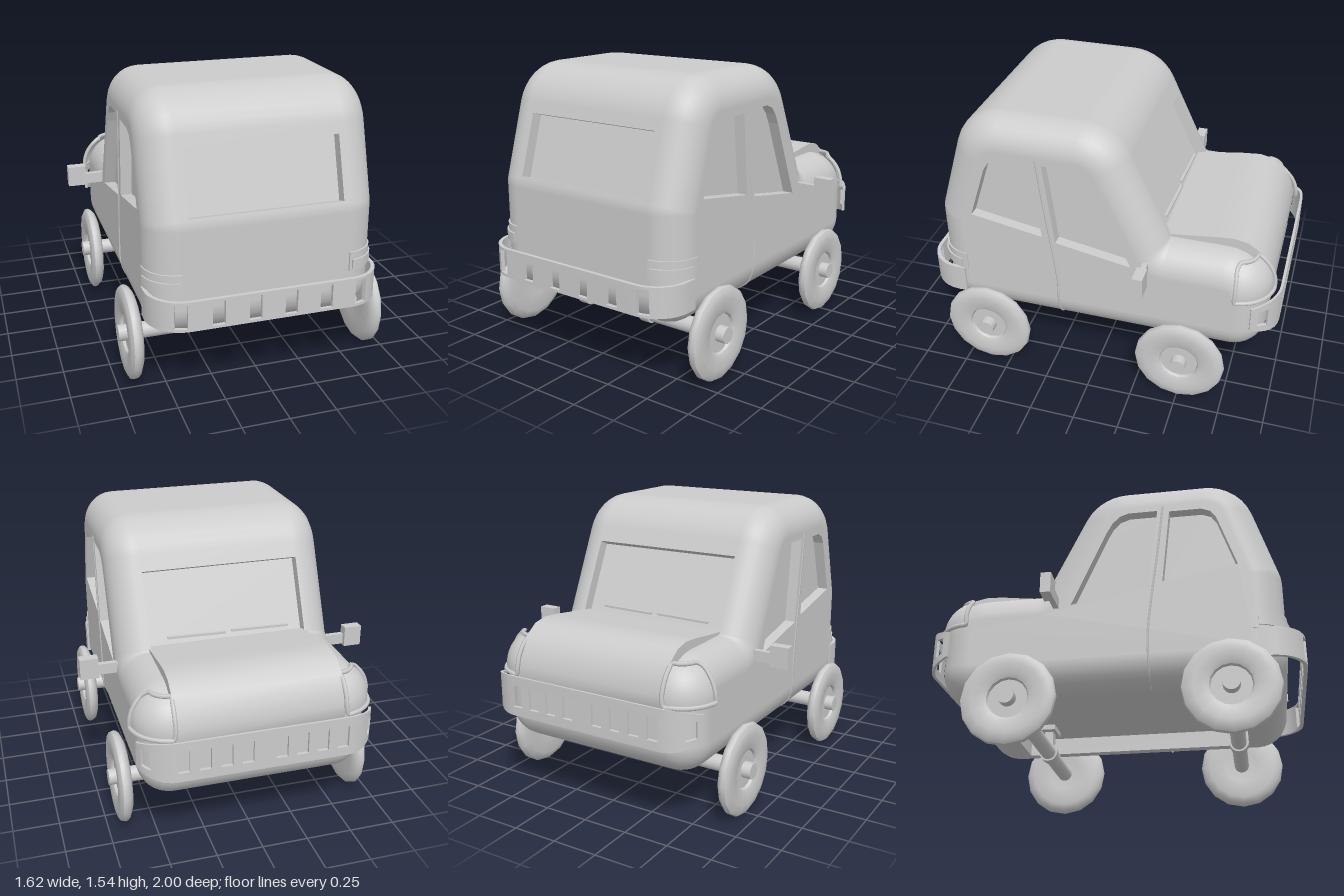
import * as THREE from 'three';
import { toCreasedNormals, mergeGeometries } from 'three/addons/utils/BufferGeometryUtils.js';

const V2 = (x, y) => new THREE.Vector2(x, y);
const V3 = (x, y, z) => new THREE.Vector3(x, y, z);
const grey = new THREE.MeshStandardMaterial({ color: 0xcccccc, side: THREE.DoubleSide });
const BEVEL = 0.17, FLAT = 0.44, N = 7;

function add(parent, name, geometry, x = 0, y = 0, z = 0) {
  const mesh = new THREE.Mesh(geometry, grey);
  mesh.name = name;
  mesh.position.set(x, y, z);
  parent.add(mesh);
  return mesh;
}

// Side profile (z, y) as corners with a signed fillet radius (negative = concave)
const corners = [
  [0.905, 0.31, 0.18], [0.905, 0.93, 0.17], [0.717, 1.54, 0.27], [-0.094, 1.54, 0.28],
  [-0.39, 0.915, -0.01], [-0.93, 0.915, 0.24], [-0.93, 0.31, 0.18],
];
function bodyProfile() {
  const out = [];
  const c = corners.map(([z, y]) => V2(z, y));
  const inward = (a, b) => { const d = b.clone().sub(a).normalize(); return V2(-d.y, d.x); };
  corners.forEach(([, , r], i) => {
    const n1 = inward(c[(i + 6) % 7], c[i]), n2 = inward(c[i], c[(i + 1) % 7]);
    const centre = n1.clone().add(n2).multiplyScalar(r / (1 + n1.dot(n2))).add(c[i]);
    const turn = Math.atan2(n1.cross(n2), n1.dot(n2));
    for (let k = 0; k <= N; k++) {
      const n = n1.clone().rotateAround(V2(0, 0), turn * k / N);
      out.push({ p: centre.clone().addScaledVector(n, -r), n });
    }
  });
  return out;
}

// Flat panel with recessed openings; local +z faces outwards
function recessedPanel(outline, holes, depth, matrix) {
  const shape = new THREE.Shape(outline);
  shape.holes = holes.map(h => new THREE.Path(h));
  const parts = [new THREE.ShapeGeometry(shape).toNonIndexed()];
  for (const h of holes) {
    parts.push(new THREE.ShapeGeometry(new THREE.Shape(h)).translate(0, 0, -depth).toNonIndexed());
    h.forEach((a, i) => {
      const b = h[(i + 1) % h.length];
      const wall = new THREE.PlaneGeometry(a.distanceTo(b), depth).rotateX(-Math.PI / 2);
      wall.rotateZ(Math.atan2(b.y - a.y, b.x - a.x));
      parts.push(wall.translate((a.x + b.x) / 2, (a.y + b.y) / 2, -depth / 2).toNonIndexed());
    });
  }
  return mergeGeometries(parts).applyMatrix4(matrix);
}

function buildBody(car) {
  const prof = bodyProfile(), M = prof.length, pos = [], nor = [], idx = [], S = 8;
  const cols = [];
  for (let j = 0; j <= S; j++) cols.push([-1, (1 - j / S) * Math.PI / 2]);
  for (let j = 0; j <= S; j++) cols.push([1, j / S * Math.PI / 2]);
  const C = cols.length, straight = k => k * (N + 1) + N;
  const open = [1, 3, 6].map(straight);
  prof.forEach(({ p, n }, i) => {
    cols.forEach(([s, a], j) => {
      const d = BEVEL * (1 - Math.cos(a));
      pos.push(s * (FLAT + BEVEL * Math.sin(a)), p.y + n.y * d, p.x + n.x * d);
      nor.push(s * Math.sin(a), -n.y * Math.cos(a), -n.x * Math.cos(a));
      if (j === C - 1 || (j === S && open.includes(i))) return;
      const v = i * C + j, w = ((i + 1) % M) * C + j;
      idx.push(v, v + 1, w, v + 1, w + 1, w);
    });
  });
  const shell = new THREE.BufferGeometry();
  shell.setAttribute('position', new THREE.Float32BufferAttribute(pos, 3));
  shell.setAttribute('normal', new THREE.Float32BufferAttribute(nor, 3));
  shell.setIndex(idx);
  add(car, 'bodyShell', shell);

  // Rear window, windscreen and underfloor, each set in a straight run of the profile
  const runs = [['rearWindow', 1, 0.405, 0.012, 0.35, 0.06], ['windscreen', 3, 0.435, 0.09, 0.5, 0.06],
    ['underfloor', 6, 0.41, 0.08, 1.42, 0.1]];
  for (const [name, k, w, v0, v1, depth] of runs) {
    const a = prof[straight(k)], b = prof[(straight(k) + 1) % M], len = a.p.distanceTo(b.p);
    const rect = (hw, lo, hi) => [V2(-hw, lo), V2(hw, lo), V2(hw, hi), V2(-hw, hi)];
    const Y = V3(0, b.p.y - a.p.y, b.p.x - a.p.x).normalize(), Z = V3(0, -a.n.y, -a.n.x);
    const m = new THREE.Matrix4().makeBasis(V3(1, 0, 0), Y, Z).setPosition(0, a.p.y, a.p.x);
    add(car, name, recessedPanel(rect(FLAT, 0, len), [rect(w, v0, v1)], depth, m));
  }

  // Flat sides with two windows each
  const frontWin = [[0.26, 1.335], [0.1, 1.335], [0.05, 1.317], [0.01, 1.275], [-0.02, 1.22], [-0.21, 0.79], [0.205, 0.865]];
  const backWin = [[0.325, 1.325], [0.5, 1.325], [0.55, 1.305], [0.58, 1.26], [0.68, 0.96], [0.28, 0.89]];
  for (const s of [1, -1]) {
    const flip = ([z, y]) => V2(-s * z, y);
    const outline = prof.map(({ p, n }) => flip([p.x + n.x * BEVEL, p.y + n.y * BEVEL]));
    const m = new THREE.Matrix4().makeBasis(V3(0, 0, -s), V3(0, 1, 0), V3(s, 0, 0)).setPosition(s * (FLAT + BEVEL), 0, 0);
    add(car, 'sideWindows', recessedPanel(outline, [frontWin.map(flip), backWin.map(flip)], 0.06, m));
    // Door seam down the side and round the sill
    const seam = [[0.61, 1.36, 0.29], [0.61, 1.1, 0.26], [0.61, 0.75, 0.215], [0.61, 0.6, 0.2], [0.61, 0.48, 0.2],
      [0.587, 0.395, 0.2], [0.56, 0.36, 0.2], [0.505, 0.323, 0.2]].map(([x, y, z]) => V3(s * x, y, z));
    add(car, 'doorSeam', new THREE.TubeGeometry(new THREE.CatmullRomCurve3(seam), 30, 0.007, 5));
  }
}

// Strip following a rounded-corner plan; s is measured along it from the middle
function ribbon(plan, s0, s1, y0, y1) {
  const { w, z0, r, t, dir } = plan, arc = r * Math.PI / 2;
  const at = (s, off) => {
    const g = Math.sign(s), u = Math.abs(s);
    if (u <= w) return V2(s, -dir * (z0 - off));
    const a = Math.min((u - w) / r, Math.PI / 2), extra = Math.max(0, u - w - arc);
    return V2(g * (w + (r - off) * Math.sin(a)), -dir * (z0 - r + (r - off) * Math.cos(a) - extra));
  };
  const stops = [s0, s1];
  for (const g of [-1, 1]) for (let k = 0; k <= 8; k++) {
    const s = g * (w + arc * k / 8);
    if (s > s0 + 1e-4 && s < s1 - 1e-4) stops.push(s);
  }
  stops.sort((a, b) => a - b);
  const pts = [...stops.map(s => at(s, 0)), ...stops.reverse().map(s => at(s, t))];
  const g = new THREE.ExtrudeGeometry(new THREE.Shape(pts), { depth: y1 - y0, bevelEnabled: false });
  return toCreasedNormals(g.rotateX(-Math.PI / 2).translate(0, y0, 0), 0.6);
}

// Bumper: two rails joined by the pieces between the slots
function bumper(name, plan, end, [y0, y1, y2, y3], slots, slotW) {
  const parts = [ribbon(plan, -end, end, y0, y1), ribbon(plan, -end, end, y2, y3)];
  const edges = [-end, ...slots.flatMap(s => [s - slotW / 2, s + slotW / 2]), end];
  for (let i = 0; i < edges.length; i += 2) parts.push(ribbon(plan, edges[i], edges[i + 1], y1, y2));
  const mesh = new THREE.Mesh(mergeGeometries(parts), grey);
  mesh.name = name;
  return mesh;
}

export function createModel() {
  const car = new THREE.Group();
  car.name = 'car';
  buildBody(car);

  // Bonnet panel
  const hood = new THREE.Shape([[0.345, 0.925], [0.5, 0.942], [0.62, 0.958], [0.72, 0.966], [0.8, 0.95], [0.87, 0.9],
    [0.915, 0.83], [0.938, 0.75], [0.942, 0.68], [0.9, 0.6], [0.36, 0.8]].map(([z, y]) => V2(z, y)));
  const hoodGeo = new THREE.ExtrudeGeometry(hood, { depth: 0.89, bevelEnabled: false }).rotateY(Math.PI / 2);
  add(car, 'bonnet', toCreasedNormals(hoodGeo.translate(-0.445, 0, 0), 0.6));

  // Bumpers
  const rearPlan = { w: 0.43, z0: 1, r: 0.19, t: 0.02, dir: 1 };
  car.add(bumper('rearBumper', rearPlan, 0.78, [0.42, 0.435, 0.565, 0.58], [-0.478, -0.285, -0.095, 0.095, 0.285, 0.478], 0.066));
  const frontPlan = { w: 0.44, z0: 1, r: 0.2, t: 0.015, dir: -1 };
  const half = [0.09, 0.2, 0.31, 0.42, 0.62];
  const front = bumper('frontBumper', frontPlan, 0.69, [0.49, 0.54, 0.66, 0.71], [...half.map(v => -v).reverse(), ...half], 0.06);
  const fp = front.geometry.attributes.position;
  for (let i = 0; i < fp.count; i++) {
    const k = 0.65 + 0.35 * THREE.MathUtils.clamp((-fp.getZ(i) - 0.87) / 0.12, 0, 1);
    fp.setY(i, 0.6 + (fp.getY(i) - 0.6) * k);
  }
  car.add(front);

  const lampPoint = (s, az, el) => {
    const a = THREE.MathUtils.degToRad(az), e = THREE.MathUtils.degToRad(el), r = 0.2;
    return V3(s * (0.44 + r * Math.cos(e) * Math.cos(a)), 0.72 + r * Math.sin(e), -0.755 - r * Math.cos(e) * Math.sin(a));
  };
  for (const s of [1, -1]) {
    // Wrap-round tail lamps
    const lampPlan = { w: 0.44, z0: 0.915, r: 0.175, t: 0.03, dir: 1 };
    const lensPlan = { w: 0.44, z0: 0.925, r: 0.18, t: 0.03, dir: 1 };
    const span = (a, b) => s > 0 ? [a, b] : [-b, -a];
    add(car, 'tailLampFrame', ribbon(lampPlan, ...span(0.445, 0.72), 0.58, 0.685));
    add(car, 'tailLampLens', ribbon(lensPlan, ...span(0.46, 0.7), 0.595, 0.645));

    // Headlamps: sphere patch with a rim
    const lens = new THREE.SphereGeometry(0.195, 14, 10, s > 0 ? Math.PI : Math.PI * 1.5, Math.PI / 2, 0.5, 1.15);
    add(car, 'headlampLens', lens, s * 0.44, 0.72, -0.755);
    const rim = [];
    for (let a = 5; a <= 88; a += 8) rim.push(lampPoint(s, a, -5));
    for (let e = 8; e <= 50; e += 14) rim.push(lampPoint(s, 88, e));
    for (let a = 88; a >= 5; a -= 12) rim.push(lampPoint(s, a, 60));
    for (let e = 50; e >= 8; e -= 14) rim.push(lampPoint(s, 5, e));
    add(car, 'headlampRim', new THREE.TubeGeometry(new THREE.CatmullRomCurve3(rim, true), 60, 0.012, 6, true));

    // Door mirrors
    add(car, 'mirrorStem', new THREE.BoxGeometry(0.13, 0.06, 0.03), s * 0.665, 0.805, -0.29);
    add(car, 'mirrorHead', new THREE.BoxGeometry(0.1, 0.115, 0.055), s * 0.76, 0.825, -0.3);

    // Wipers
    const wiper = add(car, 'wiper', new THREE.BoxGeometry(0.32, 0.012, 0.015), s * 0.18 - 0.01, 0.955, -0.335);
    wiper.rotation.y = -0.04;
  }

  // Axles with brackets and wheels
  const tyre = [[0, 0.635], [0.1, 0.63], [0.2, 0.622], [0.232, 0.635], [0.247, 0.652], [0.25, 0.665], [0.245, 0.68],
    [0.225, 0.692], [0.19, 0.695], [0.13, 0.69], [0.11, 0.682], [0.103, 0.668], [0, 0.668]].map(([r, x]) => V2(r, x));
  for (const z of [0.615, -0.505]) {
    const set = new THREE.Group();
    set.name = z > 0 ? 'rearAxle' : 'frontAxle';
    set.position.set(0, 0.252, z);
    car.add(set);
    add(set, 'axle', toCreasedNormals(new THREE.CylinderGeometry(0.044, 0.044, 1.44, 16).rotateZ(Math.PI / 2), 0.6));
    for (const s of [1, -1]) {
      const wheel = toCreasedNormals(new THREE.LatheGeometry(tyre, 16).rotateZ(-Math.PI / 2), 0.7);
      add(set, 'wheel', wheel).rotation.y = s > 0 ? 0 : Math.PI;
      add(set, 'axleStrap', toCreasedNormals(new THREE.CylinderGeometry(0.054, 0.054, 0.06, 16).rotateZ(Math.PI / 2), 0.6), s * 0.217);
      add(set, 'bracketArm', new THREE.BoxGeometry(0.06, 0.14, 0.05), s * 0.217, 0.085, 0);
      add(set, 'bracketPlate', new THREE.BoxGeometry(0.15, 0.03, 0.09), s * 0.217, 0.14, 0);
    }
  }
  return car;
}
